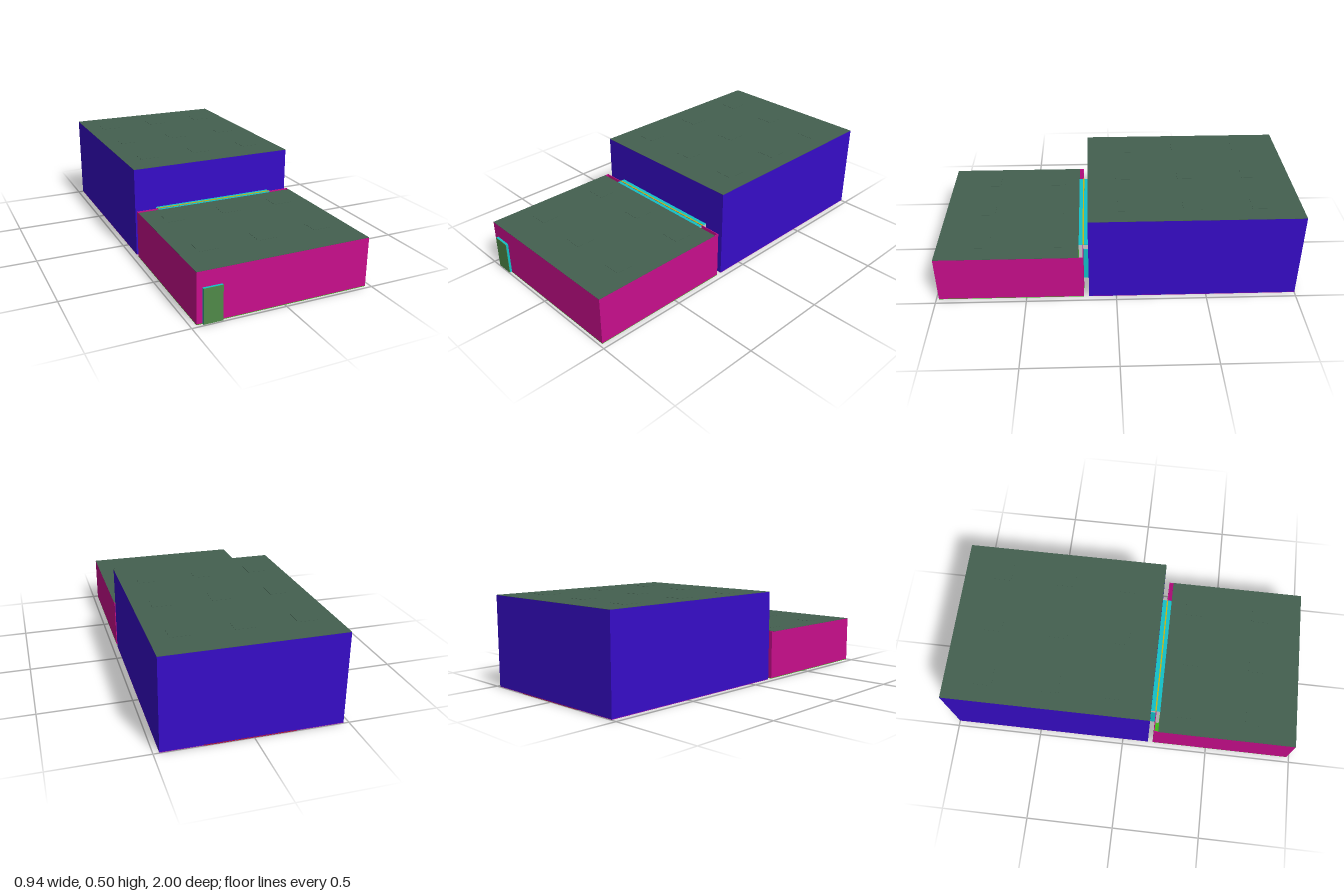
import * as THREE from 'three';

const mat = (color) => new THREE.MeshStandardMaterial({ color, side: THREE.DoubleSide });
const M = {
  roof: mat(0x446050), blue: mat(0x370cc8), pink: mat(0xc80e8c), cyan: mat(0x12c0c8),
  door: mat(0x4f8a48), green: mat(0x3cb815), purple: mat(0x9410b0), red: mat(0xb81820),
  yellow: mat(0xc8b414), stain: mat(0xb088b0), grey: mat(0xcccccc),
};
const W = 0.47; // half width of both rooms
const T = 0.004; // wall thickness

// Box given by its limits on each axis
function box(parent, name, material, [x0, x1], [y0, y1], [z0, z1]) {
  const mesh = new THREE.Mesh(new THREE.BoxGeometry(x1 - x0, y1 - y0, z1 - z0), material);
  mesh.position.set((x0 + x1) / 2, (y0 + y1) / 2, (z0 + z1) / 2);
  mesh.name = name;
  parent.add(mesh);
  return mesh;
}

// Room with four walls, floor, roof and a grid of flush roof panels
function room(name, o) {
  const g = new THREE.Group();
  g.name = name;
  const { z0, z1, roofZ0, height, wall, floor, rows } = o;
  const y = [0.005, height - 0.001];
  box(g, 'floor', floor, [-W, W], [0.002, 0.005], [z0, z1]);
  box(g, 'frontWall', wall, [-W, W], y, [z1 - T, z1]);
  box(g, 'backWall', wall, [-W, W], y, [z0, z0 + T]);
  box(g, 'leftWall', wall, [W - T, W], y, [z0 + T, z1 - T]);
  box(g, 'rightWall', wall, [-W, -W + T], y, [z0 + T, z1 - T]);
  box(g, 'roof', M.roof, [-W, W], [height - 0.001, height], [roofZ0, z1]);
  for (const z of rows) {
    for (const x of [-0.32, 0, 0.32]) {
      box(g, 'roofPanel', M.roof, [x - 0.052, x + 0.052],
        [height - 0.001, height + 0.001], [z - 0.05, z + 0.05]);
    }
  }
  return g;
}

export function createModel() {
  const model = new THREE.Group();
  model.name = 'building';

  // Tall rear hall with a platform set into its floor
  const hall = room('rearHall', {
    z0: -1, z1: 0.152, roofZ0: -1, height: 0.503, wall: M.blue, floor: M.purple,
    rows: [-0.78, -0.41, -0.06],
  });
  box(hall, 'platform', M.red, [-0.22, 0.255], [0, 0.006], [-1, -0.39]);
  model.add(hall);

  // Low front room; its roof stops short of the rear wall
  const front = room('frontRoom', {
    z0: 0.18, z1: 0.985, roofZ0: 0.205, height: 0.273, wall: M.pink, floor: M.green,
    rows: [0.345, 0.745],
  });
  model.add(front);

  // Entrance door
  const entrance = new THREE.Group();
  entrance.name = 'entranceDoor';
  box(entrance, 'doorFrame', M.cyan, [-0.44, -0.34], [0.005, 0.19], [0.985, 0.998]);
  box(entrance, 'doorPanel', M.door, [-0.44, -0.34], [0.005, 0.19], [0.998, 1]);
  model.add(entrance);

  // Passage joining the two rooms
  const passage = new THREE.Group();
  passage.name = 'passage';
  box(passage, 'passageBody', M.grey, [-0.349, 0.349], [0.004, 0.269], [0.152, 0.205]);
  box(passage, 'passageTop', M.cyan, [-0.35, 0.35], [0.269, 0.271], [0.152, 0.205]);
  box(passage, 'passageSeam', M.yellow, [-0.35, 0.35], [0.27, 0.274], [0.176, 0.184]);
  for (const s of [-1, 1]) {
    box(passage, 'passageSide', M.cyan, [s * 0.35 - 0.002, s * 0.35 + 0.002], [0.04, 0.24], [0.152, 0.18]);
  }
  model.add(passage);

  // Irregular patch under the front floor
  const outline = [[0.18, 0.59], [0.12, 0.51], [0.01, 0.52], [-0.17, 0.55], [-0.17, 0.62], [-0.08, 0.63], [0.03, 0.58], [0.12, 0.57]];
  const shape = new THREE.Shape(outline.map(([x, z]) => new THREE.Vector2(x, z)));
  const patch = new THREE.Mesh(new THREE.ShapeGeometry(shape).rotateX(Math.PI / 2), M.stain);
  patch.position.y = 0.0005;
  patch.name = 'floorPatch';
  model.add(patch);

  return model;
}
